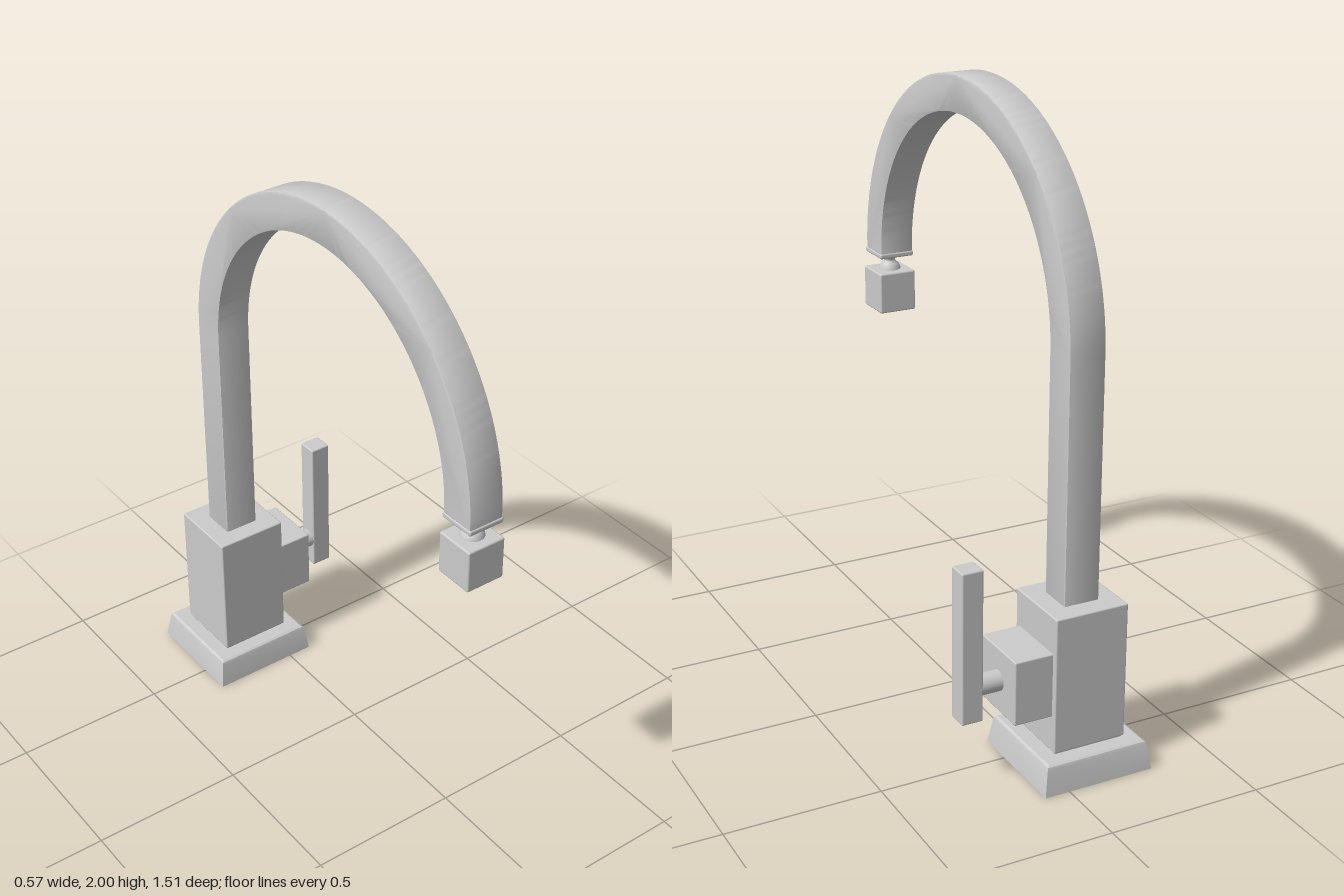
import * as THREE from 'three';
import { RoundedBoxGeometry } from 'three/addons/geometries/RoundedBoxGeometry.js';
import { toCreasedNormals } from 'three/addons/utils/BufferGeometryUtils.js';

const CX = -0.102;   // centre line of body and spout
const CZ = -0.573;   // centre of the column
const ARCH_Z = 0.06; // centre of the arch
const TIP_Z = 0.692; // centre of the outlet

export function createModel() {
  const group = new THREE.Group();
  const material = new THREE.MeshStandardMaterial({ color: 0xcccccc });

  function add(name, geometry, x, y, z) {
    const mesh = new THREE.Mesh(geometry, material);
    mesh.name = name;
    mesh.position.set(x, y, z);
    group.add(mesh);
    return mesh;
  }

  // Box with softened edges, given by its limits on each axis
  function box(name, [x0, x1], [y0, y1], [z0, z1], radius = 0.005) {
    const geometry = new RoundedBoxGeometry(x1 - x0, y1 - y0, z1 - z0, 2, radius);
    add(name, geometry, (x0 + x1) / 2, (y0 + y1) / 2, (z0 + z1) / 2);
  }

  const around = (centre, half) => [centre - half, centre + half];

  // Square flared foot with a chamfered top edge
  const footProfile = [[0, 0], [0.184, 0], [0.172, 0.083], [0.169, 0.091], [0.162, 0.095], [0, 0.095]]
    .map(([half, y]) => new THREE.Vector2(half * Math.SQRT2, y));
  const foot = new THREE.LatheGeometry(footProfile, 4).rotateY(Math.PI / 4);
  add('basePlate', toCreasedNormals(foot, 0.3), CX, 0, CZ);

  // Body, on a thin recessed seat
  box('bodySeat', around(CX, 0.115), [0.09, 0.105], around(CZ, 0.115), 0.002);
  box('body', around(CX, 0.122), [0.1, 0.545], around(CZ, 0.122));

  // Spout: straight riser and half-round arch of square section
  const bevel = 0.005;
  const outer = 0.69 - bevel, inner = 0.573 + bevel;
  const springY = 1.31;
  const outline = new THREE.Shape();
  outline.moveTo(ARCH_Z - outer, 0.53);
  outline.lineTo(ARCH_Z - inner, 0.53);
  outline.lineTo(ARCH_Z - inner, springY);
  outline.absarc(ARCH_Z, springY, inner, Math.PI, 0, true);
  outline.lineTo(ARCH_Z + inner, 1.3);
  outline.lineTo(ARCH_Z + outer, 1.3);
  outline.lineTo(ARCH_Z + outer, springY);
  outline.absarc(ARCH_Z, springY, outer, 0, Math.PI, false);
  const depth = 0.117 - 2 * bevel;
  const spout = new THREE.ExtrudeGeometry(outline, {
    depth, curveSegments: 64, bevelEnabled: true,
    bevelThickness: bevel, bevelSize: bevel, bevelSegments: 2,
  });
  spout.translate(0, 0, -depth / 2).rotateY(-Math.PI / 2);
  add('spout', toCreasedNormals(spout, 0.5), CX, 0, 0);

  // Outlet: end cap, swivel joint and square aerator
  box('spoutEndCap', around(CX, 0.061), [1.282, 1.3], around(TIP_Z, 0.062), 0.006);
  const jointProfile = [[0.038, 1.225], [0.036, 1.238], [0.029, 1.25], [0.019, 1.258], [0.019, 1.265], [0.03, 1.285]]
    .map(([r, y]) => new THREE.Vector2(r, y));
  add('swivelJoint', new THREE.LatheGeometry(jointProfile, 32), CX, 0, TIP_Z);
  box('aerator', around(CX, 0.065), [1.092, 1.231], around(TIP_Z, 0.066), 0.006);

  // Valve block, stem and lever on the side
  box('valveBlock', [0.01, 0.146], [0.218, 0.427], around(CZ, 0.104));
  const stem = new THREE.CylinderGeometry(0.033, 0.033, 0.09, 32).rotateZ(Math.PI / 2);
  add('leverStem', stem, 0.18, 0.323, CZ);
  box('lever', [0.214, 0.284], [0.218, 0.712], around(CZ, 0.034));

  return group;
}
